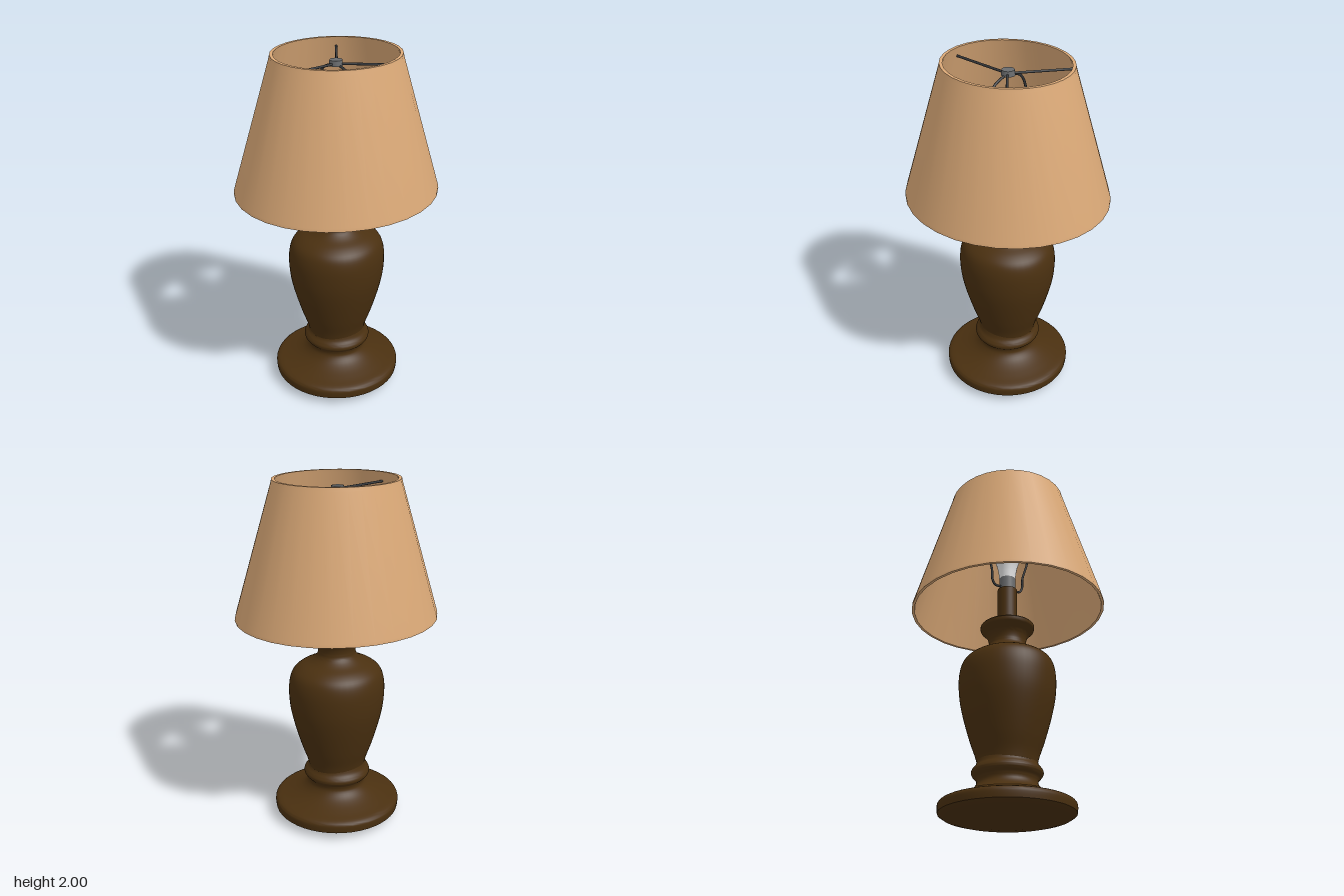
import * as THREE from 'three';
import { toCreasedNormals } from 'three/addons/utils/BufferGeometryUtils.js';

const mat = (name, color, side = THREE.FrontSide) => {
  const m = new THREE.MeshStandardMaterial({ color, side });
  m.name = name;
  return m;
};

export function createModel() {
  const lamp = new THREE.Group();
  lamp.name = 'tableLamp';
  const wood = mat('dark wood', 0x4a3010);
  const fabric = mat('tan fabric', 0xdcaa78, THREE.DoubleSide);
  const wire = mat('dark wire', 0x36383b);
  const metal = mat('grey metal', 0x6a6c6e);
  const glass = mat('white glass', 0xececec);

  const add = (name, geometry, material, x = 0, y = 0, z = 0) => {
    const mesh = new THREE.Mesh(geometry, material);
    mesh.name = name;
    mesh.position.set(x, y, z);
    lamp.add(mesh);
    return mesh;
  };
  const vec = (points) => points.map(([r, y]) => new THREE.Vector2(r, y));
  const turned = (points, segments = 48, crease = 0.7) =>
    toCreasedNormals(new THREE.LatheGeometry(vec(points), segments), crease);
  const smoothed = (points, count) =>
    new THREE.SplineCurve(vec(points)).getPoints(count).map((p) => [p.x, p.y]);
  const rod = (points, radius, segments) => new THREE.TubeGeometry(
    new THREE.CatmullRomCurve3(points.map((p) => new THREE.Vector3(...p)), false, 'centripetal'),
    segments, radius, 8);

  // Foot with a slightly domed underside, rising to a rounded ring
  add('foot', turned([
    [0, 0], [0.2, 0.007], [0.3, 0.018], [0.345, 0.03], [0.368, 0.045],
    ...smoothed([[0.37, 0.06], [0.37, 0.09], [0.352, 0.107], [0.3, 0.122],
      [0.24, 0.143], [0.195, 0.168], [0.168, 0.2], [0.168, 0.228]], 24),
    ...smoothed([[0.178, 0.238], [0.192, 0.255], [0.195, 0.27], [0.187, 0.287],
      [0.172, 0.305], [0.164, 0.33], [0.16, 0.35]], 16),
  ]), wood);

  // Vase-shaped body, a little deeper than it is wide, with a flared collar
  const body = add('body', turned([
    ...smoothed([[0.16, 0.31], [0.172, 0.36], [0.203, 0.45], [0.24, 0.58],
      [0.263, 0.69], [0.27, 0.79], [0.264, 0.86], [0.245, 0.91], [0.205, 0.945],
      [0.15, 0.972], [0.115, 1.0], [0.105, 1.03], [0.113, 1.07], [0.135, 1.1],
      [0.15, 1.115]], 56),
    [0.153, 1.125], [0.153, 1.138], [0.146, 1.146], [0, 1.146],
  ]), wood);
  body.scale.z = 1.05;

  // Stem and bulb socket
  add('stem', new THREE.CylinderGeometry(0.057, 0.057, 0.25, 32), wood, 0, 1.26);
  add('socket', new THREE.CylinderGeometry(0.048, 0.048, 0.1, 32), metal, 0, 1.42);

  // Bulb
  add('bulb', turned([
    [0.048, 1.46],
    ...smoothed([[0.052, 1.5], [0.062, 1.55], [0.085, 1.61], [0.11, 1.665], [0.12, 1.72],
      [0.112, 1.765], [0.085, 1.807], [0.045, 1.833], [0, 1.84]], 28),
  ], 40, 1.2), glass);

  // Harp around the bulb
  const arm = [[0.04, 1.4], [0.085, 1.4], [0.105, 1.43], [0.11, 1.5], [0.145, 1.62],
    [0.152, 1.72], [0.145, 1.83], [0.11, 1.895], [0.05, 1.925], [0, 1.935]];
  for (const side of [1, -1]) {
    add(side > 0 ? 'leftHarp' : 'rightHarp', rod(arm.map(([x, y]) => [side * x, y, 0]), 0.007, 48), wire);
  }

  // Spokes that carry the shade, meeting under the finial
  for (const [x, z] of [[0.262, -0.226], [-0.262, -0.226], [0, 0.355]]) {
    add('shadeSpoke', rod([[0, 1.94, 0], [x, 1.945, z]], 0.007, 4), wire);
  }
  add('finial', new THREE.CylinderGeometry(0.034, 0.037, 0.03, 24), metal, -0.006, 1.945);

  // Open tapered shade with a thin wall, slightly oval
  const shade = add('shade', turned([
    [0.535, 1.24], [0.55, 1.24], [0.548, 1.258], [0.341, 1.98], [0.337, 2],
    [0.32, 2], [0.326, 1.98], [0.535, 1.24],
  ], 32), fabric);
  shade.scale.z = 1.06;

  return lamp;
}
